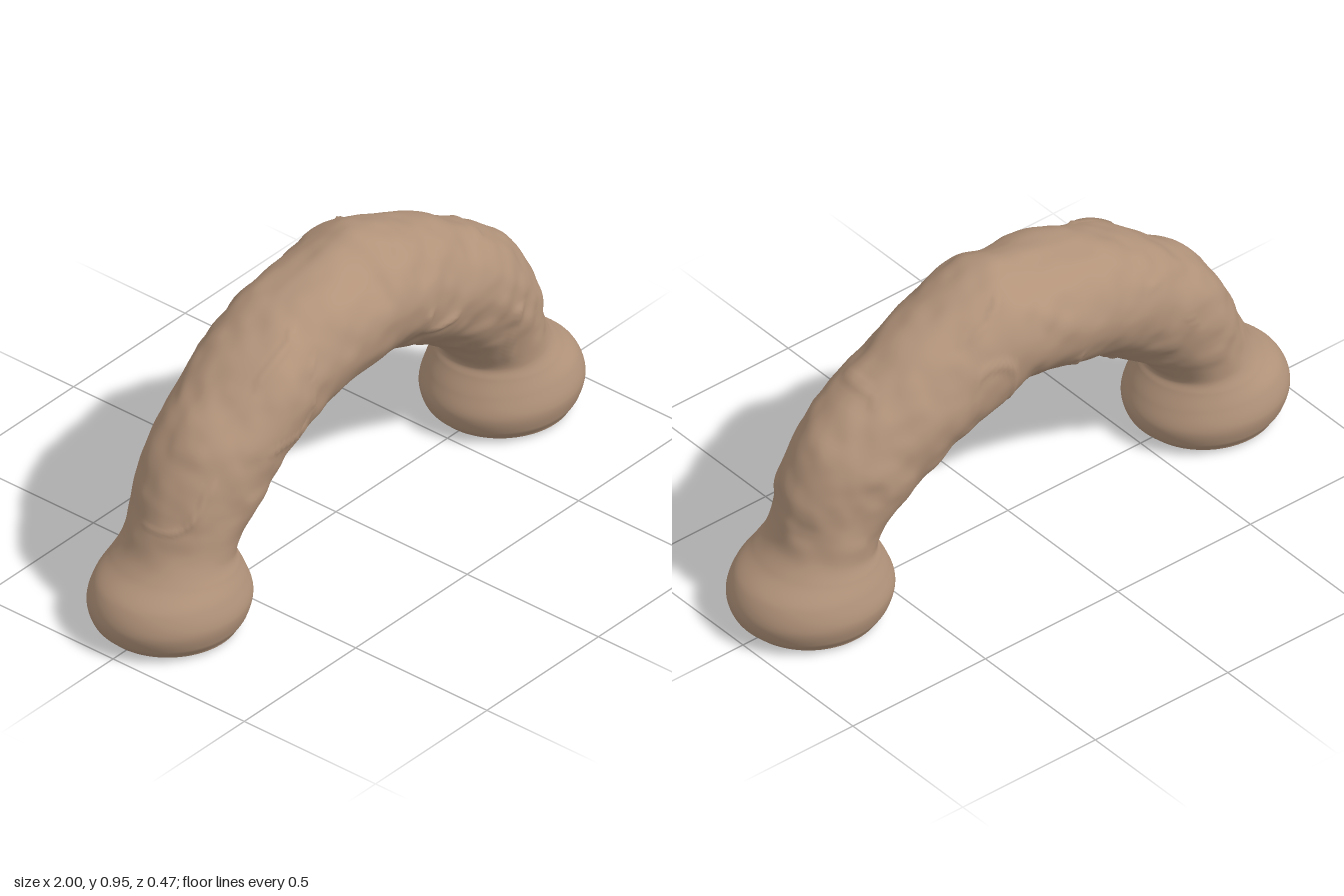
import * as THREE from 'three';

// Half of the arch, foot to crown: outer x, outer y, inner x, inner y, half depth
const half = [
  [0.955, 0.013, 0.535, 0.013, 0.203],
  [0.985, 0.045, 0.505, 0.045, 0.221],
  [1.0, 0.1, 0.49, 0.1, 0.233],
  [0.975, 0.165, 0.51, 0.16, 0.218],
  [0.905, 0.225, 0.538, 0.213, 0.193],
  [0.86, 0.28, 0.55, 0.24, 0.177],
  [0.82, 0.37, 0.51, 0.295, 0.174],
  [0.79, 0.45, 0.44, 0.36, 0.182],
  [0.71, 0.595, 0.37, 0.405, 0.19],
  [0.53, 0.75, 0.26, 0.47, 0.2],
  [0.29, 0.875, 0.13, 0.515, 0.209],
];
const crown = [[0, 0.932, 0, 0.53, 0.211], [0.09, 0.948, 0.06, 0.528, 0.211]];

// Seeded value noise for the bark
function hash(x, y, z) {
  let h = Math.imul(x, 374761393) ^ Math.imul(y, 668265263) ^ Math.imul(z, 1274126177);
  h = Math.imul(h ^ (h >>> 13), 1103515245);
  return ((h ^ (h >>> 16)) >>> 0) / 2147483648 - 1;
}
function noise(p, scale, seed) {
  const q = [p.x * scale + seed, p.y * scale, p.z * scale];
  const c = q.map(Math.floor);
  const f = q.map((v, i) => THREE.MathUtils.smootherstep(v - c[i], 0, 1));
  let sum = 0;
  for (let k = 0; k < 8; k++) {
    const o = [k & 1, (k >> 1) & 1, k >> 2];
    const w = o.reduce((a, b, i) => a * (b ? f[i] : 1 - f[i]), 1);
    sum += w * hash(c[0] + o[0], c[1] + o[1], c[2] + o[2]);
  }
  return sum;
}

// Soft lumps plus broken raised seams, fading out towards the smooth feet
function barkHeight(p) {
  const fade = THREE.MathUtils.smoothstep(p.y, 0.22, 0.38);
  const lumps = 0.009 * noise(p, 7, 11) + 0.005 * noise(p, 17, 37);
  const seam = Math.exp(-Math.pow(noise(p, 4.5, 71) / 0.05, 2));
  const broken = THREE.MathUtils.smoothstep(noise(p, 5, 93), 0.05, 0.35);
  return fade * (lumps + 0.009 * seam * broken);
}

function archGeometry(rows, cols) {
  const left = half.map(([ox, oy, ix, iy, d]) => [-ox, oy, -ix, iy, d]);
  // The right shoulder bulges slightly further out
  const right = half.map(([ox, oy, ...rest]) => [
    ox + 0.025 * THREE.MathUtils.smoothstep(oy, 0.3, 0.45) * THREE.MathUtils.smoothstep(ox, 0.5, 0.75), oy, ...rest]);
  const sections = [...left, ...crown, ...right.reverse()];
  const outer = new THREE.CatmullRomCurve3(sections.map((s) => new THREE.Vector3(s[0], s[1], 0)));
  const inner = new THREE.CatmullRomCurve3(sections.map((s) => new THREE.Vector3(s[2], s[3], 0)));
  const depth = new THREE.SplineCurve(sections.map((s, i) => new THREE.Vector2(i, s[4])));
  const positions = [], index = [];
  for (let i = 0; i <= rows; i++) {
    const t = i / rows;
    const o = outer.getPoint(t), n = inner.getPoint(t), d = depth.getPoint(t).y;
    const centre = o.clone().add(n).multiplyScalar(0.5);
    const axis = o.clone().sub(centre);
    for (let j = 0; j < cols; j++) {
      const a = (j / cols) * Math.PI * 2;
      const spoke = axis.clone().multiplyScalar(Math.cos(a));
      spoke.z = d * Math.sin(a);
      const p = centre.clone().add(spoke);
      p.addScaledVector(spoke.normalize(), barkHeight(p));
      positions.push(p.x, p.y, p.z);
      if (i < rows) {
        const k = (j + 1) % cols, r = i * cols, s = r + cols;
        index.push(r + j, r + k, s + j, r + k, s + k, s + j);
      }
    }
  }
  const geometry = new THREE.BufferGeometry();
  geometry.setAttribute('position', new THREE.Float32BufferAttribute(positions, 3));
  geometry.setIndex(index);
  geometry.computeVertexNormals();
  return geometry;
}

export function createModel() {
  const group = new THREE.Group();
  group.name = 'barkArch';
  const bark = new THREE.MeshStandardMaterial({ color: 0xb2937a });

  // Arched trunk flowing into a bulbous foot at each end
  const trunk = new THREE.Mesh(archGeometry(300, 96), bark);
  trunk.name = 'archedTrunk';
  group.add(trunk);

  // Shallow domed soles closing the feet
  const sole = new THREE.LatheGeometry([new THREE.Vector2(0, 0), new THREE.Vector2(0.5, 0.003), new THREE.Vector2(1, 0.013)], 96);
  for (const side of [-1, 1]) {
    const mesh = new THREE.Mesh(sole, bark);
    mesh.name = side > 0 ? 'leftSole' : 'rightSole';
    mesh.scale.set(0.21, 1, 0.203);
    mesh.position.x = side * 0.745;
    group.add(mesh);
  }
  return group;
}
